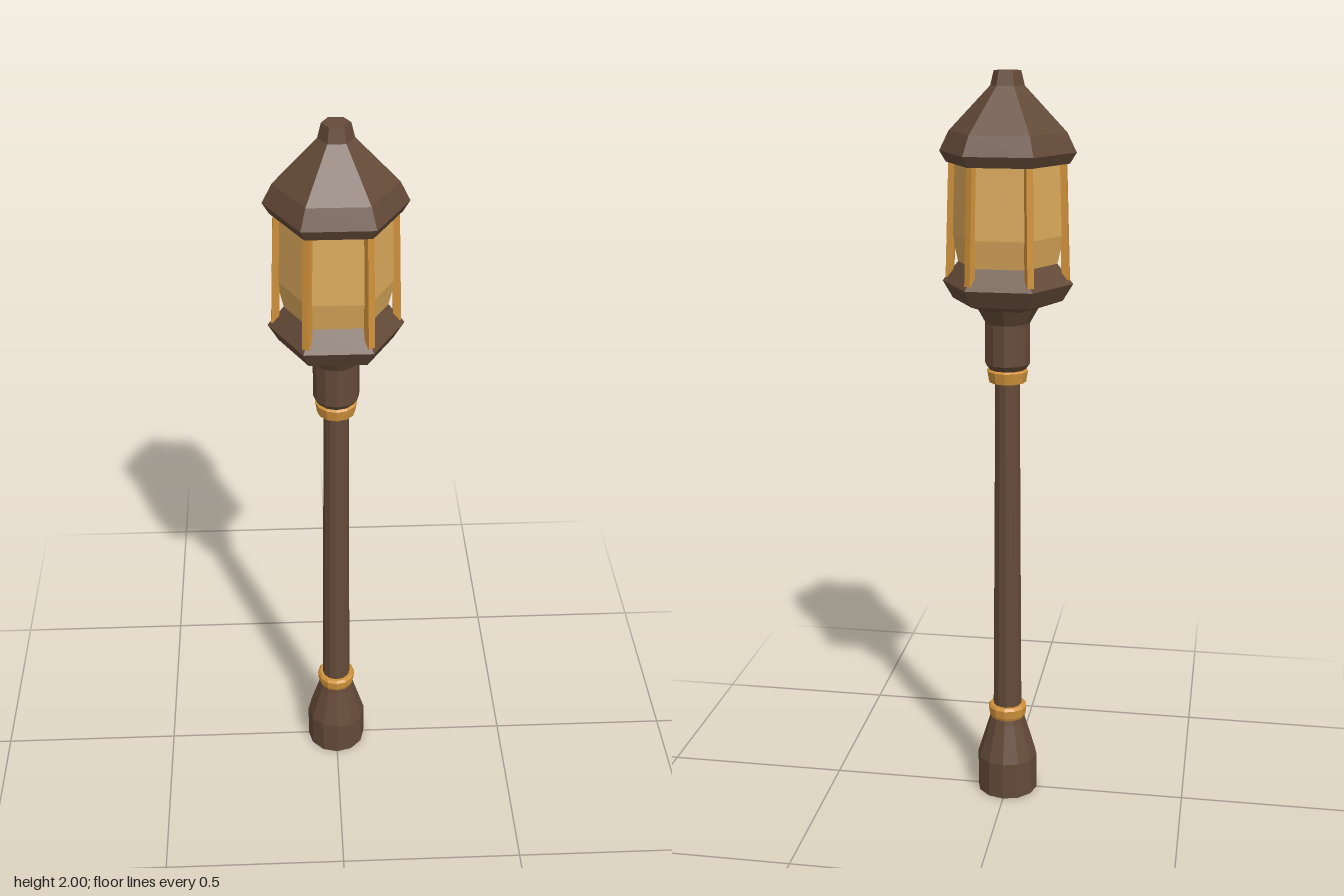
import * as THREE from 'three';

export function createModel() {
  const model = new THREE.Group();
  model.name = 'streetLamp';

  const material = (name, color) => {
    const m = new THREE.MeshStandardMaterial({ color });
    m.name = name;
    return m;
  };
  const iron = material('brown iron', 0x644a38);
  const brass = material('brass', 0xd0923a);
  const glass = material('amber glass', 0xdcaa5c);

  // Faceted geometry: every face gets its own normal
  const facet = (geometry) => {
    const g = geometry.toNonIndexed();
    g.computeVertexNormals();
    return g;
  };
  const add = (name, geometry, mat, parent = model) => {
    const mesh = new THREE.Mesh(facet(geometry), mat);
    mesh.name = name;
    parent.add(mesh);
    return mesh;
  };
  // Closed turned part from [radius, height] pairs, bottom to top, a corner on +x
  const turned = (name, sides, profile, mat) => {
    const pts = [[0, profile[0][1]], ...profile, [0, profile.at(-1)[1]]];
    const points = pts.map(([r, y]) => new THREE.Vector2(r, y));
    return add(name, new THREE.LatheGeometry(points, sides, Math.PI / 2), mat);
  };

  // Post
  turned('base', 12, [[0.084, 0], [0.084, 0.105], [0.052, 0.21], [0.046, 0.235]], iron);
  turned('lowerCollar', 12, [[0.048, 0.222], [0.052, 0.232], [0.054, 0.255], [0.048, 0.262]], brass);
  turned('pole', 12, [[0.04, 0.22], [0.033, 1.21]], iron);
  turned('upperCollar', 12, [[0.05, 1.2], [0.055, 1.23], [0.046, 1.237]], brass);
  turned('neck', 12, [[0.042, 1.225], [0.06, 1.25], [0.06, 1.36], [0.085, 1.405]], iron);

  // Six-sided lantern
  turned('lanternTray', 6, [[0.085, 1.4], [0.145, 1.42], [0.172, 1.465], [0.13, 1.517]], iron);
  turned('lanternGlass', 6, [[0.13, 1.5], [0.13, 1.515], [0.147, 1.59], [0.14, 1.79]], glass);
  turned('roof', 6, [[0.16, 1.772], [0.177, 1.8], [0.152, 1.85], [0.044, 1.963], [0.035, 2]], iron);

  // Slanted bars on the lantern corners
  const bars = new THREE.Group();
  bars.name = 'lanternBars';
  model.add(bars);
  const bottom = 1.475, top = 1.785;
  for (let i = 0; i < 6; i++) {
    const geometry = new THREE.BoxGeometry(0.02, top - bottom, 0.018);
    const lean = Math.atan2(0.011, top - bottom);
    geometry.rotateZ(lean);
    geometry.translate(0.147, (top + bottom) / 2, 0);
    geometry.rotateY((i * Math.PI) / 3);
    add('lanternBar', geometry, brass, bars);
  }

  return model;
}
